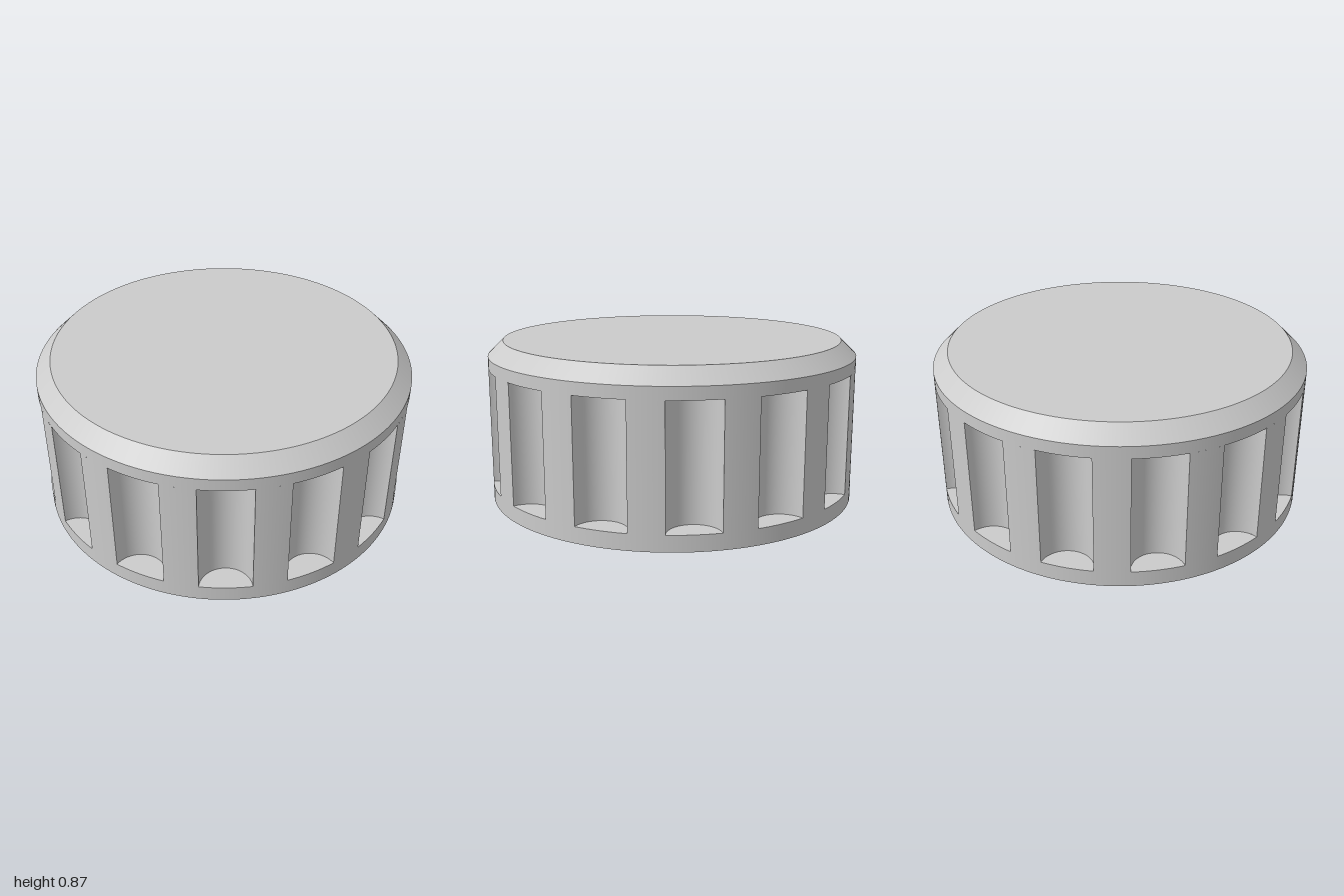
import * as THREE from 'three';

const COUNT = 14;                // grip flutes around the rim
const STEP = (Math.PI * 2) / COUNT;
const R = 1;                     // knob radius
const FLUTE_R = 0.135;           // flute radius, centred on the rim
const Y_LOW = 0.085, Y_HIGH = 0.72, Y_CHAMFER = 0.785, Y_TOP = 0.865;
const TOP_R = 0.918;
const SOCKET = { w: 0.305, h: 0.4, d: 0.195 };
const SEGMENTS = COUNT * 12;

// Half angles of a flute, seen from the knob axis and from the flute axis
const rimHalf = 2 * Math.asin(FLUTE_R / (2 * R));
const fluteHalf = Math.acos(FLUTE_R / (2 * R));

const solid = new THREE.MeshStandardMaterial({ color: 0xcccccc });
const hollow = new THREE.MeshStandardMaterial({ color: 0xcccccc, side: THREE.DoubleSide });

function addMesh(parent, name, geometry, material = solid) {
  const mesh = new THREE.Mesh(geometry, material);
  mesh.name = name;
  parent.add(mesh);
  return mesh;
}

// Open ring of wall between two heights
function wall(rTop, rBottom, y0, y1, segments = SEGMENTS, start = 0, length = Math.PI * 2) {
  return new THREE.CylinderGeometry(rTop, rBottom, y1 - y0, segments, 1, true, start, length)
    .translate(0, (y0 + y1) / 2, 0);
}

// Lens-shaped end of a flute: rim arc outside, flute arc inside
function fluteEnd() {
  const shape = new THREE.Shape();
  shape.absarc(0, 0, R, Math.PI / 2 - rimHalf, Math.PI / 2 + rimHalf, false);
  shape.absarc(0, R, FLUTE_R, -Math.PI / 2 - fluteHalf, -Math.PI / 2 + fluteHalf, false);
  return new THREE.ShapeGeometry(shape, 20);
}

// One flute facing +z with the rib of rim next to it
function createFlute() {
  const flute = new THREE.Group();
  flute.name = 'gripFlute';
  addMesh(flute, 'fluteWall',
    wall(FLUTE_R, FLUTE_R, Y_LOW, Y_HIGH, 24, Math.PI - fluteHalf, 2 * fluteHalf).translate(0, 0, R), hollow);
  addMesh(flute, 'fluteFloor', fluteEnd().rotateX(-Math.PI / 2).rotateY(Math.PI).translate(0, Y_LOW, 0));
  addMesh(flute, 'fluteCeiling', fluteEnd().rotateX(Math.PI / 2).translate(0, Y_HIGH, 0));
  addMesh(flute, 'gripRib', wall(R, R, Y_LOW, Y_HIGH, 8, rimHalf, STEP - 2 * rimHalf));
  return flute;
}

// Underside disc with the rectangular shaft opening
function undersideGeometry() {
  const disc = new THREE.Shape().absarc(0, 0, R, 0, Math.PI * 2, false);
  const { w, d } = SOCKET;
  disc.holes.push(new THREE.Path([
    new THREE.Vector2(-w / 2, -d / 2), new THREE.Vector2(-w / 2, d / 2),
    new THREE.Vector2(w / 2, d / 2), new THREE.Vector2(w / 2, -d / 2),
  ]));
  return new THREE.ShapeGeometry(disc, SEGMENTS).rotateX(Math.PI / 2);
}

// Socket walls and ceiling: a box without its bottom face
function socketGeometry() {
  const box = new THREE.BoxGeometry(SOCKET.w, SOCKET.h, SOCKET.d).translate(0, SOCKET.h / 2, 0);
  box.setIndex(Array.from(box.index.array).filter((_, i) => i < 18 || i >= 24));
  box.clearGroups();
  return box;
}

export function createModel() {
  const knob = new THREE.Group();
  knob.name = 'knob';

  // Plain rim bands, chamfer and top face
  addMesh(knob, 'lowerBand', wall(R, R, 0, Y_LOW));
  addMesh(knob, 'upperBand', wall(R, R, Y_HIGH, Y_CHAMFER));
  addMesh(knob, 'chamfer', wall(TOP_R, R, Y_CHAMFER, Y_TOP));
  addMesh(knob, 'topFace',
    new THREE.CircleGeometry(TOP_R, SEGMENTS).rotateX(-Math.PI / 2).translate(0, Y_TOP, 0));

  // Fluted grip, with a flute on the +x axis
  for (let i = 0; i < COUNT; i++) {
    const flute = createFlute();
    flute.rotation.y = Math.PI / 2 + i * STEP;
    knob.add(flute);
  }

  // Underside and shaft socket
  addMesh(knob, 'underside', undersideGeometry());
  addMesh(knob, 'shaftSocket', socketGeometry(), hollow);

  return knob;
}
